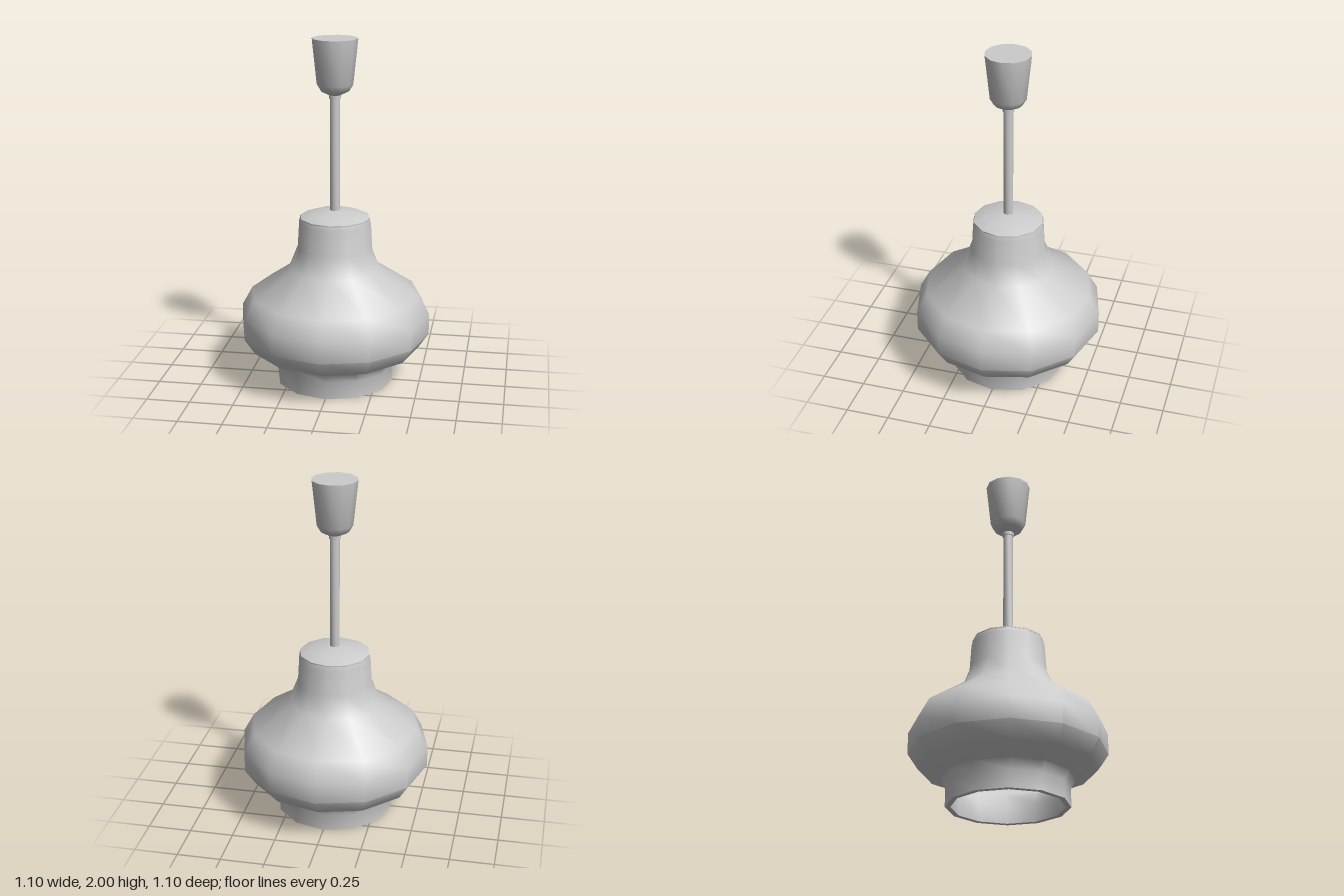
import * as THREE from 'three';
import { toCreasedNormals } from 'three/addons/utils/BufferGeometryUtils.js';

const SIDES = 12;

export function createModel() {
  const group = new THREE.Group();
  group.name = 'pendantLamp';
  const material = new THREE.MeshStandardMaterial({ color: 0xcccccc });

  // Turned part from [radius, height] pairs, listed up the outside
  function turned(name, profile, crease = 0.75) {
    const points = profile.map(([r, y]) => new THREE.Vector2(r, y));
    const geometry = toCreasedNormals(new THREE.LatheGeometry(points, SIDES), crease);
    const mesh = new THREE.Mesh(geometry, material);
    mesh.name = name;
    group.add(mesh);
  }

  // Hollow shade: outer wall up, inner wall back down, closed by the bottom rim
  const outer = [
    [0.34, 0], [0.34, 0.10], [0.365, 0.155], [0.49, 0.21], [0.55, 0.30], [0.55, 0.42],
    [0.49, 0.53], [0.265, 0.68], [0.217, 0.80], [0.208, 0.95], [0.20, 0.98],
  ];
  const inner = [
    [0.175, 0.98], [0.178, 0.95], [0.187, 0.795], [0.242, 0.657], [0.472, 0.505],
    [0.52, 0.41], [0.52, 0.31], [0.472, 0.235], [0.343, 0.178], [0.31, 0.107], [0.31, 0],
  ];
  turned('shade', [...outer, ...inner, outer[0]]);

  // Shallow domed cap closing the neck of the shade
  turned('shadeCap', [[0, 0.975], [0.202, 0.975], [0.202, 0.982], [0.14, 1.005], [0.03, 1.022], [0, 1.022]]);

  // Hanging rod and the collar at its top
  turned('rod', [[0, 1.0], [0.028, 1.0], [0.028, 1.69], [0, 1.69]]);
  turned('collar', [[0, 1.665], [0.034, 1.665], [0.034, 1.69], [0, 1.69]]);

  // Tapered ceiling cup
  turned('ceilingCup', [
    [0, 1.685], [0.035, 1.685], [0.08, 1.707], [0.103, 1.745], [0.13, 2.0], [0, 2.0],
  ]);

  return group;
}
